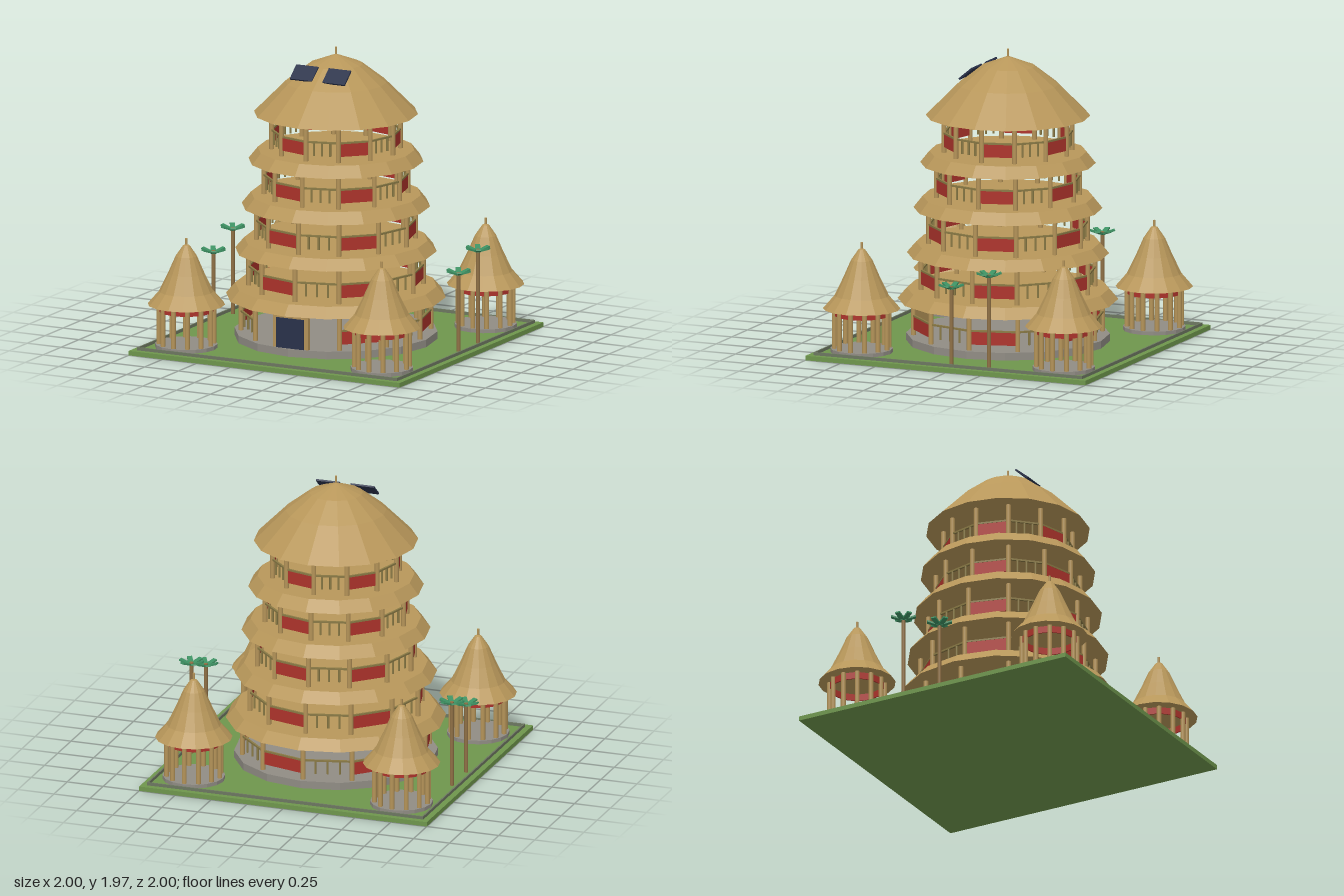
import * as THREE from 'three';

const mat = (name, color) => Object.assign(new THREE.MeshStandardMaterial({ color }), { name });

export function createModel() {
  const M = {
    thatch: mat('thatch', 0xb8975a),
    bamboo: mat('bamboo', 0xb49358),
    rail: mat('rail wood', 0x8a7a45),
    red: mat('red panel', 0xae332b),
    grass: mat('grass', 0x6e964c),
    stone: mat('stone', 0x908c84),
    curb: mat('curb', 0x6c7660),
    navy: mat('navy', 0x29314a),
    trunk: mat('trunk', 0x8f7045),
    leaf: mat('leaf', 0x3d9062),
  };
  const model = new THREE.Group();

  // Helpers
  const group = (name, parent = model) => {
    const g = new THREE.Group();
    g.name = name;
    parent.add(g);
    return g;
  };
  const add = (parent, name, geo, material, x = 0, y = 0, z = 0) => {
    const m = new THREE.Mesh(geo, material);
    m.name = name;
    m.position.set(x, y, z);
    parent.add(m);
    return m;
  };
  const flat = (geo) => {
    const g = geo.toNonIndexed();
    g.computeVertexNormals();
    return g;
  };
  const box = (p, name, material, w, h, d, x, y, z) =>
    add(p, name, new THREE.BoxGeometry(w, h, d), material, x, y, z);
  // Faceted frustum standing between heights y0 and y1
  const drum = (p, name, material, rBottom, rTop, y0, y1) =>
    add(p, name, flat(new THREE.CylinderGeometry(rTop, rBottom, y1 - y0, 16)), material, 0, (y0 + y1) / 2, 0);
  // Smooth round pole standing between heights y0 and y1
  const pole = (p, name, material, r, y0, y1, x = 0, z = 0) =>
    add(p, name, new THREE.CylinderGeometry(r, r, y1 - y0, 16), material, x, (y0 + y1) / 2, z);
  const lathe = (p, name, material, pts) =>
    add(p, name, flat(new THREE.LatheGeometry(pts.map(([r, y]) => new THREE.Vector2(r, y)), 16)), material);

  // Ground with a low curb
  const ground = group('ground');
  box(ground, 'lawn', M.grass, 2, 0.03, 2, 0, 0.015, 0);
  for (const s of [-1, 1]) {
    box(ground, 'curb', M.curb, 1.92, 0.02, 0.01, 0, 0.04, s * 0.955);
    box(ground, 'curb', M.curb, 0.01, 0.02, 1.9, s * 0.955, 0.04, 0);
  }

  // Tower storeys: floor height, ceiling height, column radius, eave radius
  const tower = group('tower');
  drum(tower, 'plinth', M.stone, 0.665, 0.665, 0.03, 0.08);
  const storeys = [
    [0.08, 0.31, 0.62, 0.72],
    [0.38, 0.615, 0.57, 0.66],
    [0.685, 0.915, 0.52, 0.617],
    [0.99, 1.215, 0.47, 0.573],
    [1.29, 1.54, 0.42, 0],
  ];
  const bays = 12;
  const step = (Math.PI * 2) / bays;
  storeys.forEach(([y0, y1, R, eave], level) => {
    const storey = group('storey' + (level + 1), tower);
    const chord = 2 * R * Math.sin(step / 2);
    for (let k = 0; k < bays; k++) {
      const a = k * step;
      if (level > 0 || k > 0)
        pole(storey, 'column', M.bamboo, 0.016, y0, y1, R * Math.sin(a), R * Math.cos(a));
      if (level === 0 && (k === 0 || k === bays - 1)) continue; // entrance bays
      const bay = group(k % 2 ? 'panelBay' : 'railingBay', storey);
      const mid = a + step / 2;
      const r = R * Math.cos(step / 2);
      bay.position.set(r * Math.sin(mid), y0, r * Math.cos(mid));
      bay.rotation.y = mid;
      box(bay, 'topRail', M.rail, chord, 0.012, 0.014, 0, 0.129, 0);
      if (k % 2) {
        box(bay, 'panel', M.red, chord - 0.02, 0.085, 0.01, 0, 0.081, 0);
      } else {
        for (const f of [-0.25, 0, 0.25])
          pole(bay, 'baluster', M.rail, 0.007, 0.038, 0.124, f * chord);
      }
    }
    if (eave) drum(storey, 'eave', M.thatch, eave, eave - 0.06, y1, storeys[level + 1][0]);
  });

  // Entrance door
  const door = group('entrance', tower);
  box(door, 'doorFrame', M.bamboo, 0.26, 0.23, 0.03, 0, 0.195, 0.62);
  box(door, 'door', M.navy, 0.2, 0.2, 0.01, 0, 0.18, 0.639);

  // Main roof, finial and solar panels
  const roof = group('mainRoof', tower);
  lathe(roof, 'roofThatch', M.thatch, [[0, 1.53], [0.537, 1.53], [0.33, 1.738], [0.175, 1.858], [0, 1.925]]);
  pole(roof, 'finial', M.bamboo, 0.008, 1.91, 1.97);
  for (const s of [-1, 1]) {
    const panel = box(roof, 'solarPanel', M.navy, 0.163, 0.012, 0.12, s * 0.12, 1.823, 0.215);
    panel.rotation.x = 0.7;
  }

  // Corner huts
  for (const sx of [-1, 1]) for (const sz of [-1, 1]) {
    const hut = group('hut');
    hut.position.set(sx * 0.722, 0, sz * 0.722);
    drum(hut, 'hutBase', M.stone, 0.205, 0.205, 0.03, 0.055);
    for (let i = 0; i < 12; i++) {
      const a = i * step;
      const mid = a + step / 2;
      pole(hut, 'hutPost', M.bamboo, 0.016, 0.055, 0.33, 0.18 * Math.sin(a), 0.18 * Math.cos(a));
      const cloth = box(hut, 'hutPanel', M.red, 0.07, 0.045, 0.008, 0.17 * Math.sin(mid), 0.293, 0.17 * Math.cos(mid));
      cloth.rotation.y = mid;
    }
    lathe(hut, 'hutRoof', M.thatch,
      [[0, 0.318], [0.253, 0.318], [0.178, 0.405], [0.12, 0.525], [0.07, 0.64], [0.022, 0.71], [0, 0.72]]);
    pole(hut, 'hutFinial', M.bamboo, 0.008, 0.7, 0.757);
  }

  // Palm trees: x, z, crown height
  for (const [x, z, h] of [[0.905, 0, 0.55], [0.905, -0.27, 0.65], [-0.905, 0, 0.5], [-0.905, -0.27, 0.6]]) {
    const palm = group('palm');
    palm.position.set(x, 0, z);
    pole(palm, 'palmTrunk', M.trunk, 0.013, 0.03, h + 0.008);
    for (let i = 0; i < 6; i++) {
      const frond = group('frond', palm);
      frond.position.y = h - 0.008;
      frond.rotation.y = (i * Math.PI) / 3;
      const leaf = box(frond, 'leaf', M.leaf, 0.08, 0.011, 0.034, 0.043, 0.014, 0);
      leaf.rotation.z = 0.33;
    }
  }
  return model;
}
